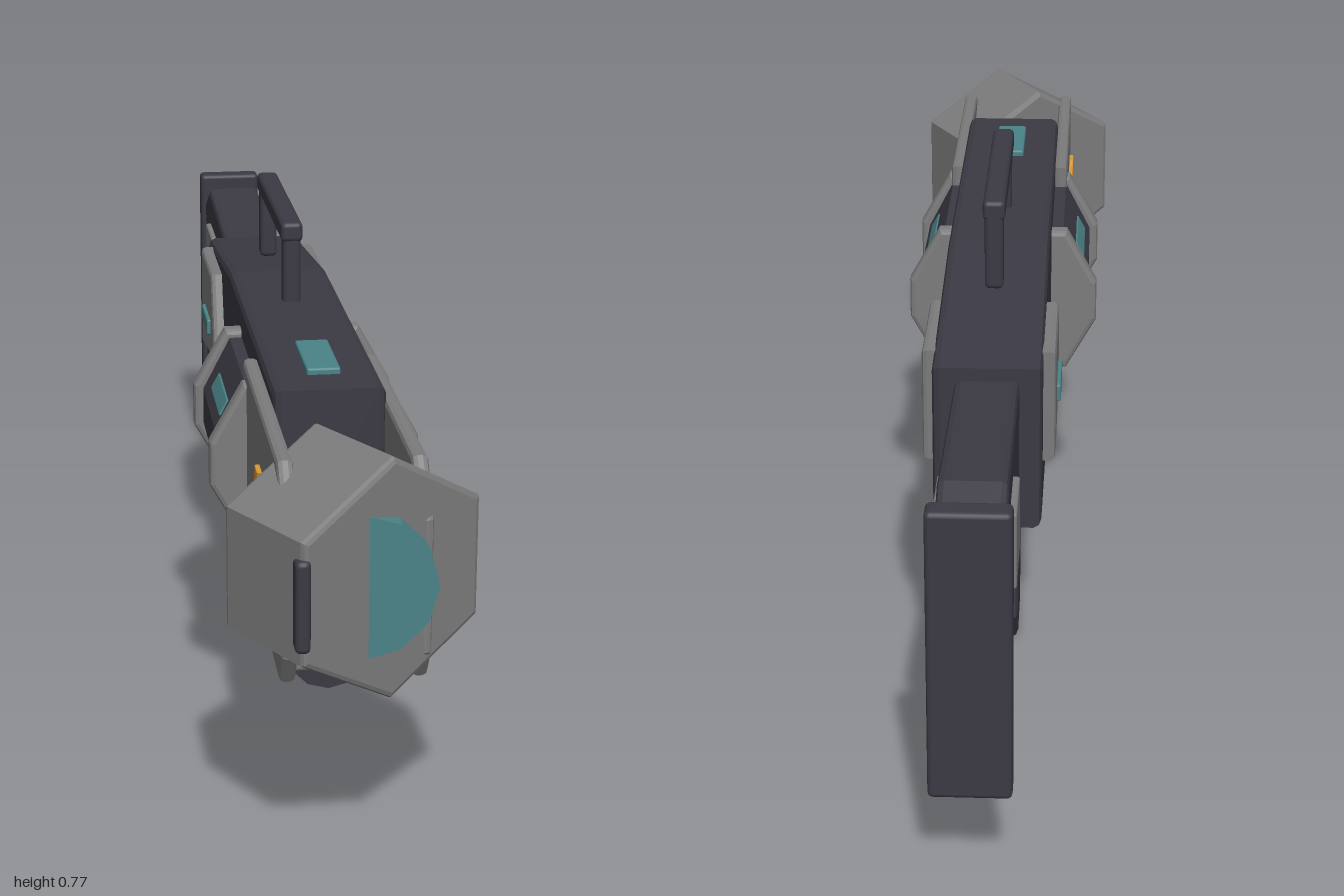
import * as THREE from 'three';
import { RoundedBoxGeometry } from 'three/addons/geometries/RoundedBoxGeometry.js';

const mat = (name, color) => {
  const m = new THREE.MeshStandardMaterial({ color });
  m.name = name;
  return m;
};

export function createModel() {
  const dark = mat('charcoal', 0x3b3943);
  const gray = mat('gray', 0x7c7c7c);
  const teal = mat('teal', 0x4a8387);
  const orange = mat('orange', 0xdd9a30);

  const root = new THREE.Group();
  root.name = 'scifiRifle';

  const add = (name, geo, material, x = 0, y = 0, z = 0) => {
    const m = new THREE.Mesh(geo, material);
    m.name = name;
    m.position.set(x, y, z);
    root.add(m);
    return m;
  };

  // Extrusion centred on its depth; the bevel stays inside the outline
  const prism = (pts, depth, b) => {
    const shape = new THREE.Shape(pts.map(([u, v]) => new THREE.Vector2(u, v)));
    const geo = new THREE.ExtrudeGeometry(shape, {
      depth: depth - 2 * b, bevelEnabled: b > 0, bevelThickness: b,
      bevelSize: b, bevelOffset: -b, bevelSegments: 2,
    });
    return geo.translate(0, 0, b - depth / 2);
  };
  // Side profile given as [z, y], extruded across x
  const side = (pts, width, b = 0.01) => prism(pts, width, b).rotateY(-Math.PI / 2);
  const box = (w, h, d, r = 0.008) => new RoundedBoxGeometry(w, h, d, 2, r);

  // Receiver
  add('receiver', side([[0.6, 0.31], [0.6, 0.64], [-0.07, 0.64], [-0.49, 0.592],
    [-0.49, 0.32], [0, 0.306]], 0.17, 0.012), dark);

  // Stock and butt pad
  add('stock', side([[-0.48, 0.355], [-0.48, 0.57], [-0.88, 0.595], [-0.97, 0.55],
    [-0.97, 0.165], [-0.82, 0.15], [-0.65, 0.34]], 0.1), dark);
  add('buttPad', box(0.12, 0.45, 0.04), dark, 0, 0.38, -0.98);

  // Grip and trigger housing
  add('grip', side([[-0.18, 0.33], [-0.15, 0.245], [-0.165, 0.2], [-0.175, 0.02],
    [-0.28, 0], [-0.315, 0.055], [-0.265, 0.33]], 0.084, 0.012), dark);
  add('triggerHousing', side([[-0.02, 0.33], [-0.02, 0.23], [-0.17, 0.215],
    [-0.17, 0.33]], 0.07), dark);

  // Carry handle
  add('handleBar', box(0.036, 0.033, 0.38), dark, 0, 0.758, -0.06);
  for (const z of [0.112, -0.234]) {
    add('handlePost', box(0.03, 0.13, 0.032), dark, 0, 0.69, z);
  }
  add('topLight', box(0.052, 0.016, 0.15, 0.004), teal, 0, 0.642, 0.452);

  // Faceted power cell through the receiver, framed by two brackets
  const cell = [[0.15, 0.435], [0.15, 0.495], [0.105, 0.58]];
  const hex = (x, lo, hi, xt, yb, yt) => [[x, lo], [x, hi], [xt, yt],
    [-xt, yt], [-x, hi], [-x, lo], [-xt, yb], [xt, yb]];
  add('powerCell', prism(hex(cell[0][0], cell[0][1], cell[1][1], cell[2][0], 0.348, 0.582),
    0.28, 0.006), dark, 0, 0, 0.26);
  for (const z of [0.115, 0.41]) {
    add('cellBracket', prism(hex(0.165, 0.43, 0.5, 0.112, 0.335, 0.595),
      0.034, 0.008), gray, 0, 0, z);
  }

  // Parts on both sides
  for (const s of [1, -1]) {
    for (const up of [1, -1]) {
      const vent = add('cellVent', box(0.009, 0.03, 0.145, 0.003), teal,
        s * 0.132, 0.465 + up * 0.061, 0.262);
      vent.rotation.z = s * up * 0.5;
    }

    // Fore guard with two slanted stripes
    add('foreGuard', side([[0.37, 0.62], [0.83, 0.615], [0.875, 0.57], [0.89, 0.54],
      [0.89, 0.34], [0.86, 0.292], [0.43, 0.3], [0.38, 0.35]], 0.024, 0.008),
    gray, s * 0.095);
    for (const z of [0, -0.067]) {
      add('guardStripe', side([[0.712 + z, 0.53], [0.676 + z, 0.53], [0.628 + z, 0.39],
        [0.664 + z, 0.39]], 0.009, 0.002), orange, s * 0.11);
    }

    // Receiver plate with light
    add('receiverPlate', side([[-0.174, 0.47], [-0.222, 0.594], [-0.425, 0.592],
      [-0.425, 0.406], [-0.2, 0.44]], 0.03, 0.008), gray, s * 0.09);
    add('plateLight', box(0.009, 0.028, 0.108, 0.003), teal, s * 0.107, 0.489, -0.296);

    add('stockPlate', box(0.02, 0.12, 0.122, 0.004), gray, s * 0.05, 0.47, -0.791);
  }
  const mark = add('stockStripe', box(0.009, 0.024, 0.085, 0.003), orange, 0.063, 0.468, -0.79);
  mark.rotation.x = Math.PI / 6;

  // Hexagonal muzzle block, turned about the vertical
  const block = Array.from({ length: 6 }, (_, i) => {
    const a = Math.PI / 2 + i * Math.PI / 3;
    return [0.18 * Math.cos(a), 0.18 * Math.sin(a)];
  });
  add('muzzleBlock', prism(block, 0.185, 0.008), gray, 0, 0.465, 0.838).rotation.y = Math.PI / 6;
  const lens = new THREE.CylinderGeometry(0.107, 0.107, 0.03, 12).toNonIndexed();
  lens.computeVertexNormals();
  add('lens', lens.rotateX(Math.PI / 2), teal, 0, 0.463, 0.925);
  add('muzzleSlot', box(0.022, 0.135, 0.04), dark, -0.09, 0.463, 0.98);

  // Ribbed foregrip between two mounts
  add('foregrip', new THREE.CylinderGeometry(0.065, 0.065, 0.42, 12).rotateX(Math.PI / 2),
    dark, 0, 0.22, 0.39);
  for (let i = 0; i < 6; i++) {
    add('foregripRib', new THREE.TorusGeometry(0.065, 0.013, 6, 12), dark,
      0, 0.22, 0.24 + i * 0.058);
  }
  add('frontMount', box(0.126, 0.125, 0.045), gray, 0, 0.258, 0.602);
  add('rearMount', box(0.126, 0.125, 0.03), gray, 0, 0.262, 0.175);

  return root;
}
